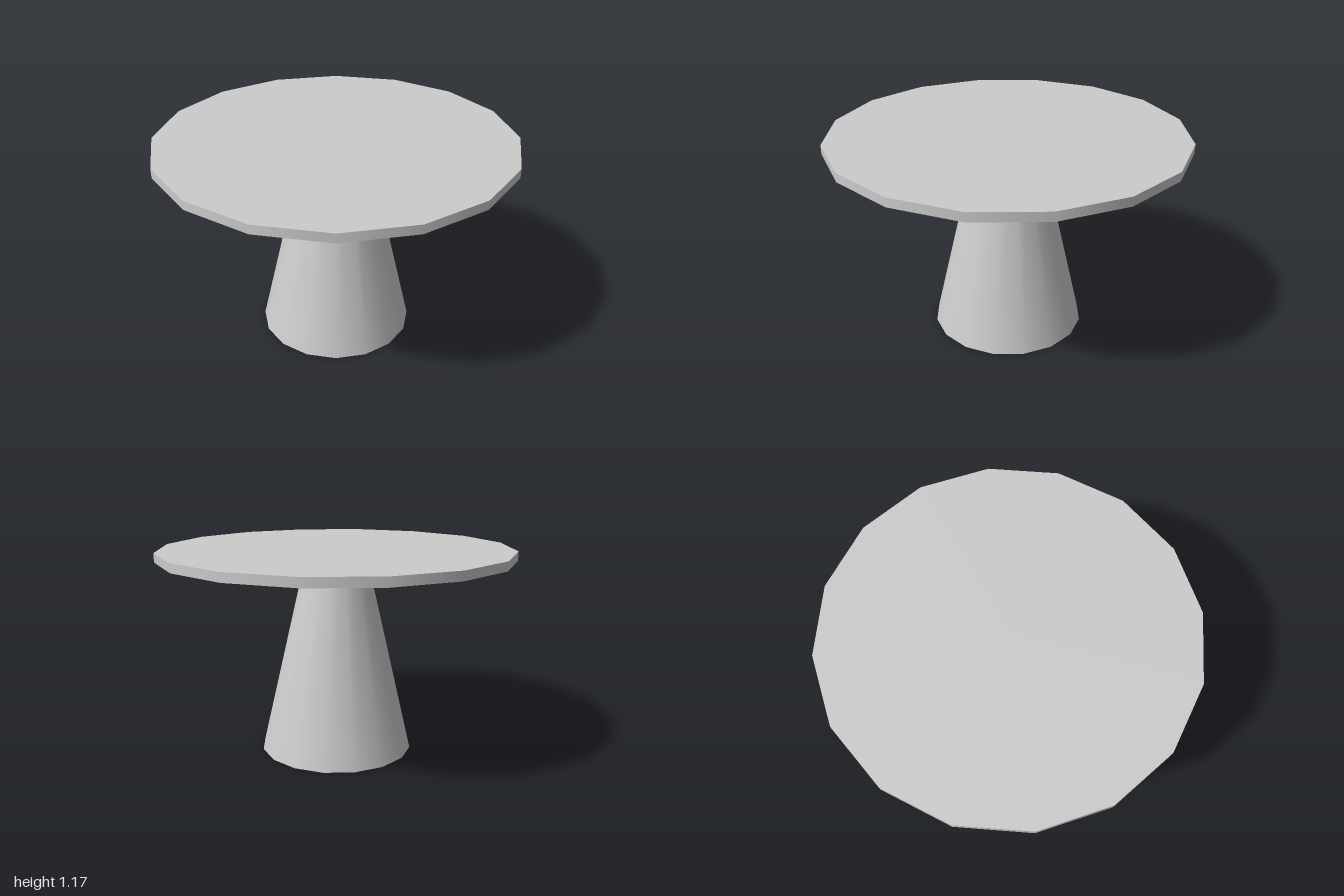
import * as THREE from 'three';

const SIDES = 16;

export function createModel() {
  const table = new THREE.Group();
  table.name = 'pedestalTable';
  const material = new THREE.MeshStandardMaterial({ color: 0xcccccc });

  // Adds a closed round part standing between two heights
  function addRound(name, topRadius, bottomRadius, y0, y1) {
    const geometry = new THREE.CylinderGeometry(topRadius, bottomRadius, y1 - y0, SIDES);
    const mesh = new THREE.Mesh(geometry, material);
    mesh.name = name;
    mesh.position.y = (y0 + y1) / 2;
    table.add(mesh);
  }

  // Tapered pedestal
  addRound('pedestal', 0.175, 0.44, 0, 1.125);
  // Thin round top
  addRound('tableTop', 1, 1, 1.125, 1.175);

  return table;
}
